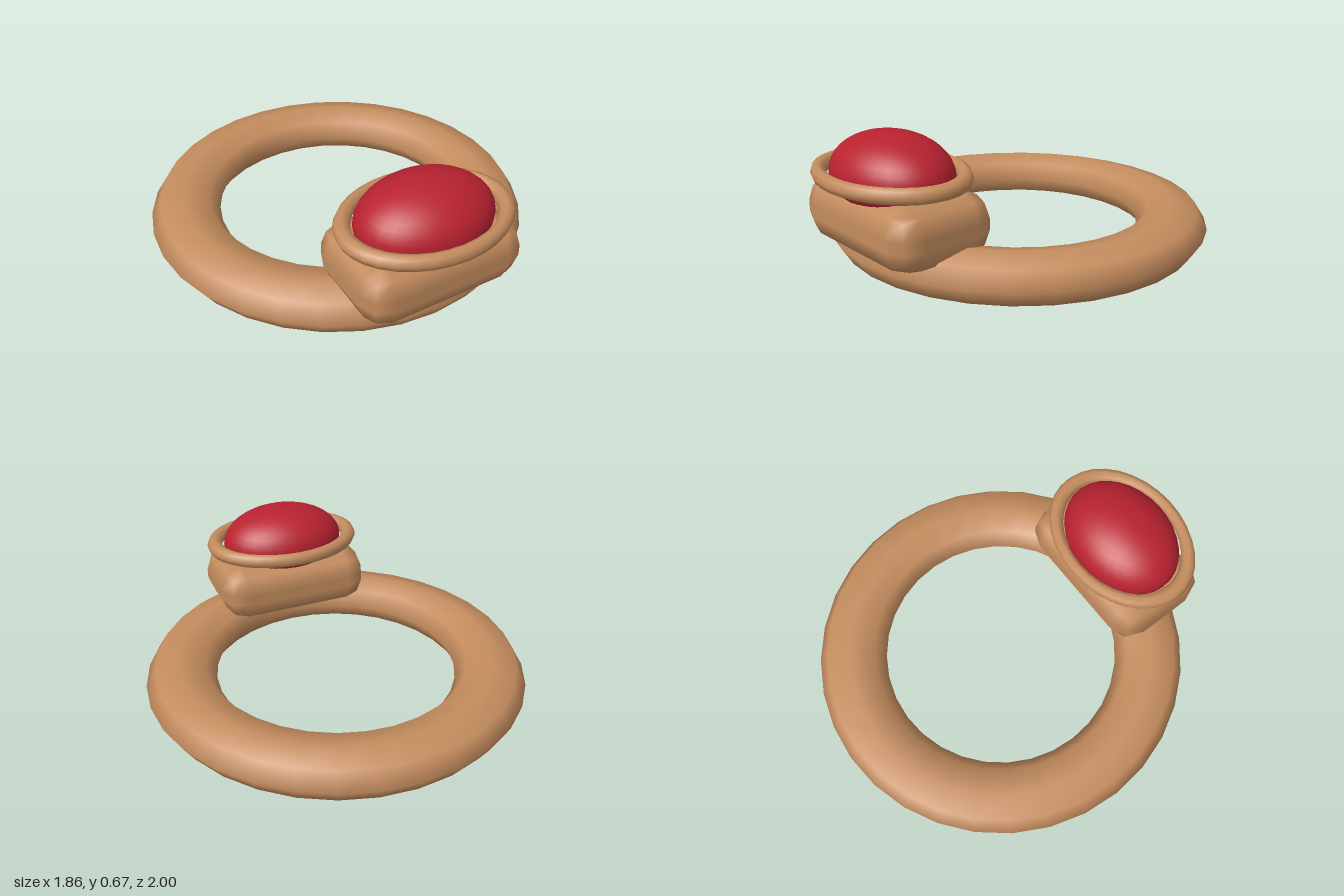
import * as THREE from 'three';
import { RoundedBoxGeometry } from 'three/addons/geometries/RoundedBoxGeometry.js';

const bronze = new THREE.MeshStandardMaterial({ color: 0xc48c5e });
bronze.name = 'bronze';
const ruby = new THREE.MeshStandardMaterial({ color: 0xb82230 });
ruby.name = 'ruby';

function add(group, name, geometry, material, x, y, z) {
  const mesh = new THREE.Mesh(geometry, material);
  mesh.name = name;
  mesh.position.set(x, y, z);
  group.add(mesh);
  return mesh;
}

// Torus lying flat, with separate x, y and z stretch
function flatTorus(radius, tube, segments, sx, sy, sz) {
  return new THREE.TorusGeometry(radius, tube, 8, segments).rotateX(-Math.PI / 2).scale(sx, sy, sz);
}

export function createModel() {
  const ring = new THREE.Group();
  ring.name = 'ring';

  // Finger band, slightly flattened
  add(ring, 'band', flatTorus(0.76, 0.17, 32, 1, 0.66, 1), bronze, 0, 0.112, -0.07);

  // Chunky bevelled mount on the front of the band
  add(ring, 'mount', new RoundedBoxGeometry(0.81, 0.295, 0.52, 1, 0.122), bronze, 0, 0.29, 0.664);

  // Oval bezel around the stone
  add(ring, 'bezel', flatTorus(0.375, 0.04, 32, 1, 0.93, 0.76), bronze, 0, 0.488, 0.684);

  // Domed oval stone
  const stone = new THREE.SphereGeometry(1, 32, 20).scale(0.325, 0.182, 0.247);
  add(ring, 'stone', stone, ruby, 0, 0.49, 0.68);

  return ring;
}
